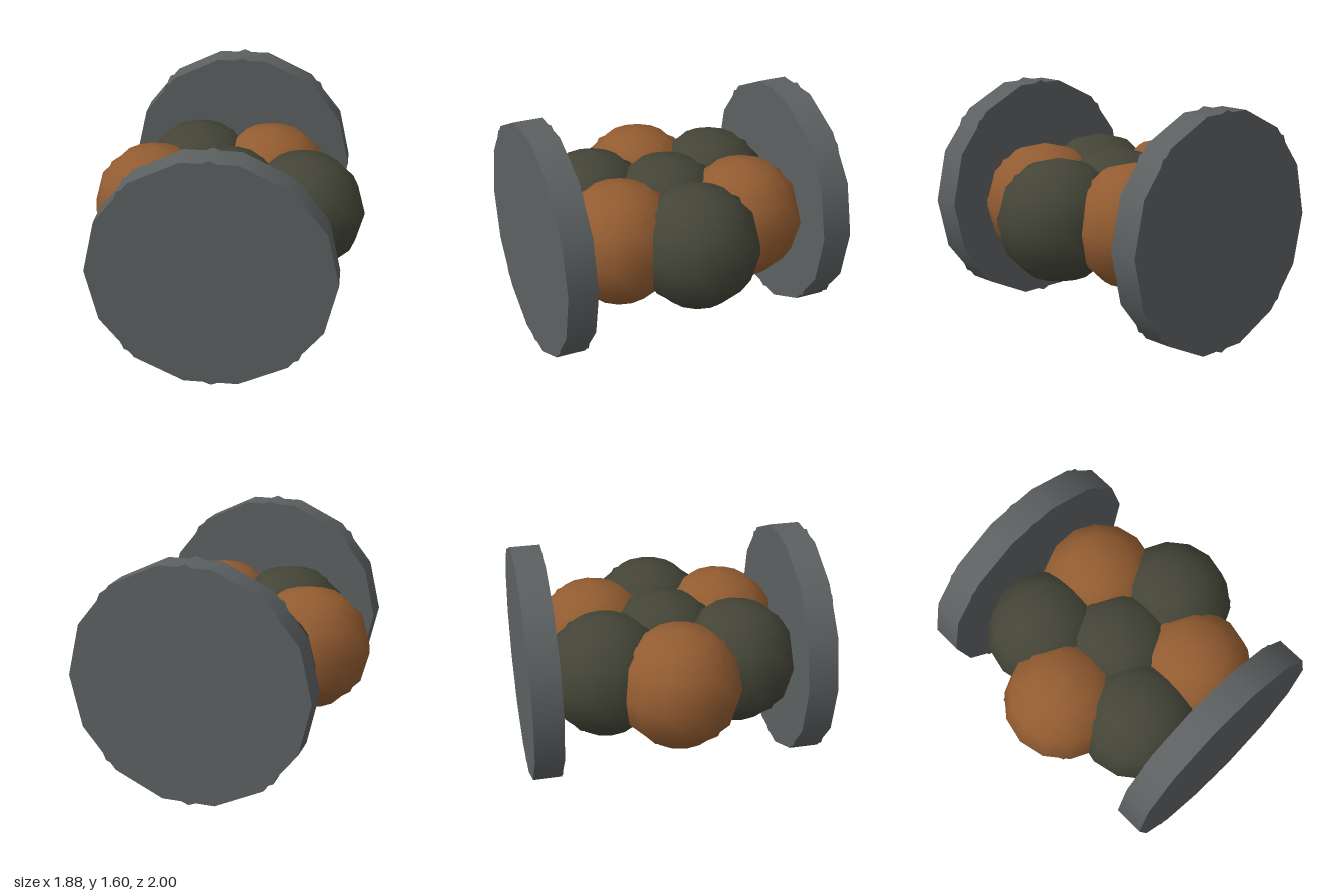
import * as THREE from 'three';

const CENTER_Y = 0.8;
const BALL_RADIUS = 0.42;
const RING_RADIUS = 0.52;
const DISC_RADIUS = 0.8;
const DISC_DEPTH = 0.2;

export function createModel() {
  const model = new THREE.Group();
  model.name = 'ballClusterBetweenDiscs';

  const material = (name, color) => {
    const m = new THREE.MeshStandardMaterial({ color });
    m.name = name;
    return m;
  };
  const grey = material('slate grey', 0x5c6061);
  const copper = material('copper brown', 0x935c31);
  const olive = material('dark olive', 0x444537);

  // Each round part is a coarse and a finer facet shell sharing one centre
  const ballShells = [[14, 6], [8, 4]].map(([w, h]) => new THREE.SphereGeometry(BALL_RADIUS, w, h));
  const discShells = [14, 8].map((sides) =>
    new THREE.CylinderGeometry(DISC_RADIUS, DISC_RADIUS, DISC_DEPTH, sides, 1, false, Math.PI / 2)
      .rotateX(Math.PI / 2));

  const addPart = (name, shells, mat, x, z) => {
    const part = new THREE.Group();
    part.name = name;
    part.position.set(x, CENTER_Y, z);
    for (const shell of shells) {
      const mesh = new THREE.Mesh(shell, mat);
      mesh.name = name + 'Shell';
      part.add(mesh);
    }
    model.add(part);
  };

  // Middle ball and the ring of six in alternating colours
  addPart('centreBall', ballShells, olive, 0, 0);
  for (let i = 0; i < 6; i++) {
    const a = (i * Math.PI) / 3;
    addPart('ringBall' + (i + 1), ballShells, i % 2 ? copper : olive,
      RING_RADIUS * Math.cos(a), RING_RADIUS * Math.sin(a));
  }

  // End discs
  addPart('frontDisc', discShells, grey, 0, 0.9);
  addPart('backDisc', discShells, grey, 0, -0.9);

  return model;
}
